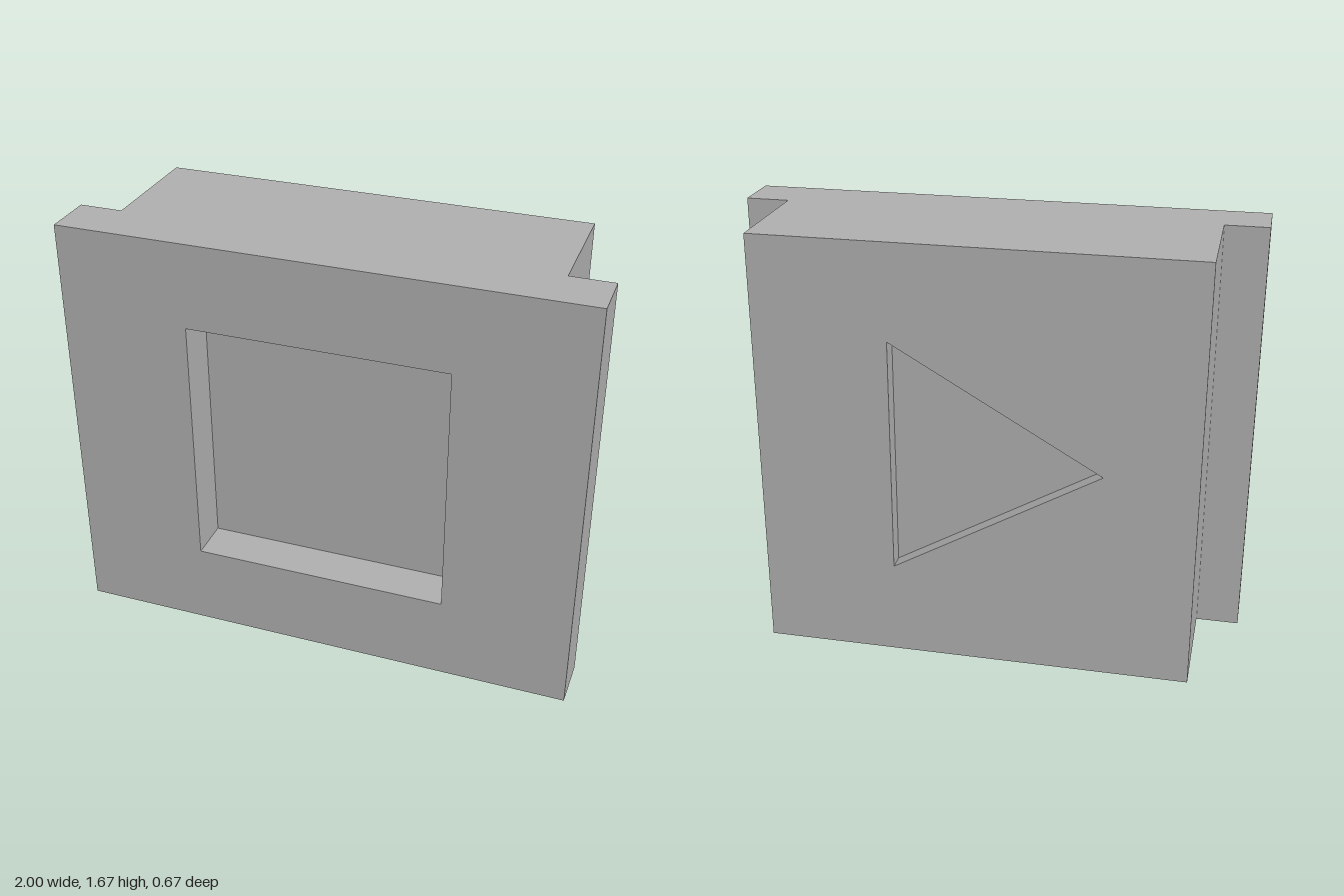
import * as THREE from 'three';

const H = 1.667, D = 0.333, STEP = 0.133, BODY = 0.833;

const toShape = (pts) => new THREE.Shape(pts.map(([x, y]) => new THREE.Vector2(x, y)));

// Flat-sided wall: each segment of a path swept along one direction
function sweep(path, dir) {
  const pos = [];
  for (let i = 0; i < path.length - 1; i++) {
    const a = new THREE.Vector3(...path[i]);
    const b = new THREE.Vector3(...path[i + 1]);
    const c = b.clone().add(dir), d = a.clone().add(dir);
    for (const p of [a, b, c, a, c, d]) pos.push(p.x, p.y, p.z);
  }
  const geo = new THREE.BufferGeometry();
  geo.setAttribute('position', new THREE.Float32BufferAttribute(pos, 3));
  geo.computeVertexNormals();
  return geo;
}

export function createModel() {
  const model = new THREE.Group();
  model.name = 'recessedBlock';
  const grey = new THREE.MeshStandardMaterial({ color: 0xb0b0b0 });
  grey.name = 'grey';

  const add = (parent, name, geo) => {
    const mesh = new THREE.Mesh(geo, grey);
    mesh.name = name;
    parent.add(mesh);
    return mesh;
  };

  // Plate facing +z with a sunken pocket; pocket corners run counter-clockwise
  function recessedFace(name, halfWidth, pocket, depth) {
    const group = new THREE.Group();
    group.name = name;
    const plate = toShape([[-halfWidth, 0], [halfWidth, 0], [halfWidth, H], [-halfWidth, H]]);
    plate.holes.push(toShape(pocket));
    add(group, name + 'Plate', new THREE.ShapeGeometry(plate));
    const rim = [...pocket, pocket[0]].map(([x, y]) => [x, y, 0]);
    add(group, name + 'PocketWalls', sweep(rim, new THREE.Vector3(0, 0, -depth)));
    add(group, name + 'PocketFloor', new THREE.ShapeGeometry(toShape(pocket))).position.z = -depth;
    model.add(group);
    return group;
  }

  // Stepped sides: wide front flange, narrower body behind
  const rightPath = [[1, D], [1, STEP], [BODY, STEP], [BODY, -D]];
  const leftPath = rightPath.map(([x, z]) => [-x, z]).reverse();
  for (const [name, path] of [['rightSide', rightPath], ['leftSide', leftPath]]) {
    add(model, name, sweep(path.map(([x, z]) => [x, 0, z]), new THREE.Vector3(0, H, 0)));
  }

  // Top and bottom caps
  const outline = [...rightPath, ...leftPath];
  const top = new THREE.ShapeGeometry(toShape(outline.map(([x, z]) => [x, -z])));
  add(model, 'top', top.rotateX(-Math.PI / 2)).position.y = H;
  const bottom = new THREE.ShapeGeometry(toShape(outline));
  add(model, 'bottom', bottom.rotateX(Math.PI / 2));

  // Front with square pocket
  const square = [[-0.5, 0.333], [0.5, 0.333], [0.5, 1.333], [-0.5, 1.333]];
  recessedFace('front', 1, square, 0.167).position.z = D;

  // Back with shallow equilateral triangle pocket
  const triangle = [0, 1, 2].map((i) => {
    const a = (i * 2 * Math.PI) / 3;
    return [-0.05 + 0.533 * Math.cos(a), 0.833 + 0.533 * Math.sin(a)];
  });
  const back = recessedFace('back', BODY, triangle, 0.067);
  back.rotation.y = Math.PI;
  back.position.z = -D;

  return model;
}
